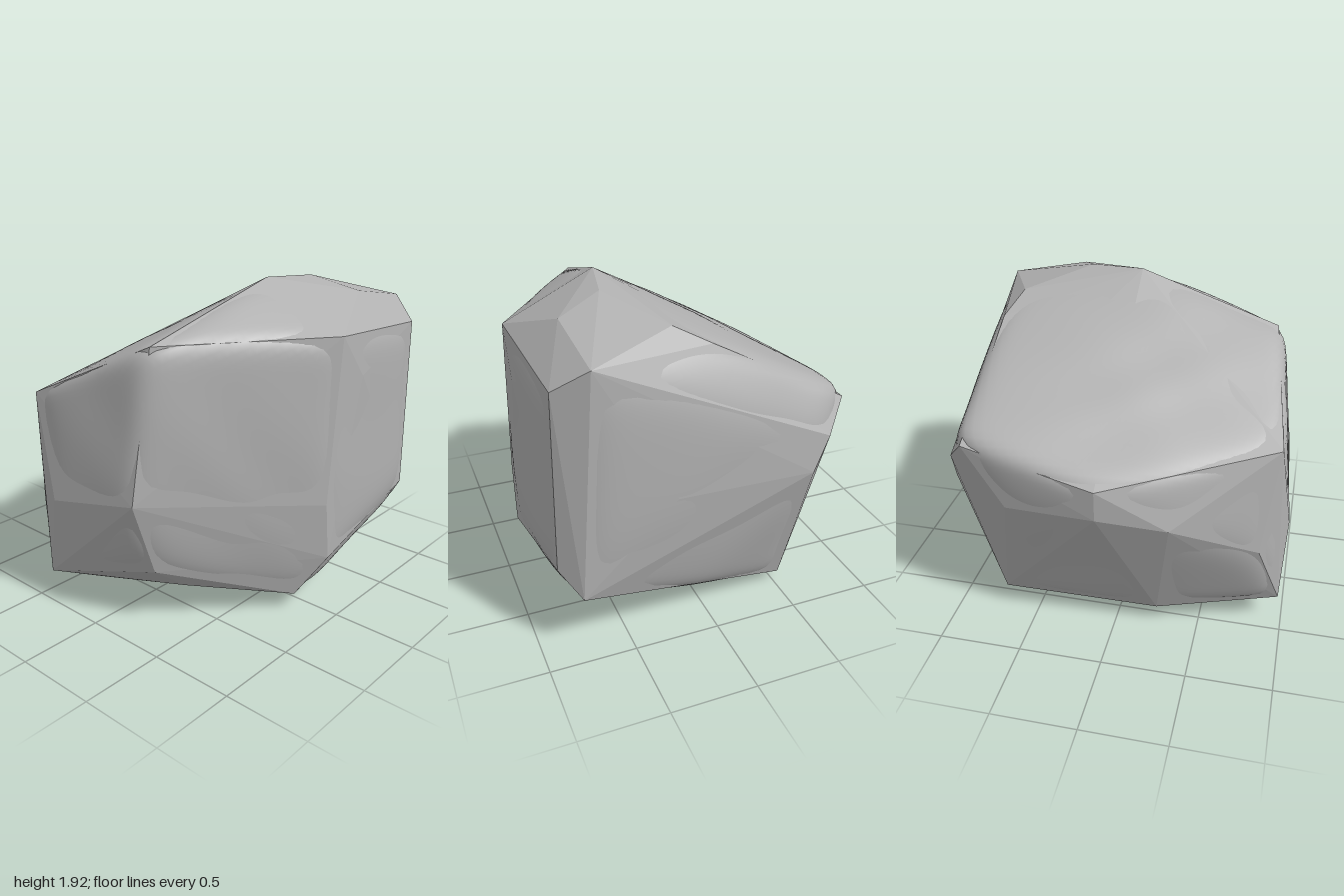
import * as THREE from 'three';
import { ConvexGeometry } from 'three/addons/geometries/ConvexGeometry.js';
import { mergeVertices } from 'three/addons/utils/BufferGeometryUtils.js';

const V = (x, y, z) => new THREE.Vector3(x, y, z);
const centre = V(0, 0.9, 0);

// Sharp corners around the top
const topCorners = [
  V(0.39, 1.92, -0.05), V(0.92, 1.66, -0.05), V(0.3, 1.66, 0.8), V(0.7, 1.73, -0.98),
  V(-0.81, 1.26, -0.82), V(-0.52, 1.28, 0.92),
  V(0.46, 1.9, -0.38), V(0.72, 1.82, -0.5), V(0.2, 1.8, -0.75), V(0, 1.7, -0.82),
];

// Worn corners around the sides
const sideCorners = [
  V(-0.94, 1.15, -0.03), V(-0.94, 0.97, -0.03), V(-0.86, 0.9, 0.36), V(-0.72, 0.75, 0.6),
  V(-0.61, 0.65, 0.84), V(-0.32, 0.68, 0.99), V(0.28, 0.8, 0.94), V(0.92, 0.7, 0.04),
  V(0.93, 1.4, -0.25), V(0.88, 1.6, -0.87), V(0.89, 0.55, -0.86), V(0.25, 0.93, -0.995),
  V(-0.57, 0.9, -0.975), V(-0.67, 1.1, -0.95), V(-0.83, 0.9, -0.58),
];

// Corners around the undercut foot
const footCorners = [
  V(0.77, 0.1, 0.11), V(-0.41, 0.18, 0.97), V(0.35, 0.21, 0.6), V(0.3, 0.36, 0.8), V(0.92, 0.35, 0),
  V(0.78, 0.4, -0.97), V(-0.53, 0.06, -0.74), V(-0.59, 0.12, 0.25), V(-0.5, 0.12, 0.45),
  V(-0.2, 0.14, 0.78), V(-0.3, 0.06, 0.45), V(0.05, 0, -0.45), V(0.25, 0.01, -0.4), V(0.1, 0.07, 0.4),
];

// Outward planes of the shell, near-parallel neighbours merged
function shellPlanes(geometry) {
  const p = geometry.attributes.position, planes = [], tri = new THREE.Triangle();
  for (let i = 0; i < p.count; i += 3) {
    tri.setFromAttributeAndIndices(p, i, i + 1, i + 2);
    const n = tri.getNormal(V(0, 0, 0));
    const d = n.dot(tri.a.clone().sub(centre));
    if (!planes.some((q) => q.n.dot(n) > 0.995)) planes.push({ n, d });
  }
  return planes;
}

// Smooth stone: a ball pressed softly against the shell planes, with gentle dents
function stoneGeometry(planes) {
  let g = new THREE.IcosahedronGeometry(1, 28);
  g.deleteAttribute('uv');
  g.deleteAttribute('normal');
  g = mergeVertices(g, 1e-4);
  const p = g.attributes.position, dir = V(0, 0, 0);
  for (let i = 0; i < p.count; i++) {
    dir.fromBufferAttribute(p, i).normalize();
    let sum = 0;
    for (const { n, d } of planes) sum += Math.max(0, n.dot(dir) / d) ** 30;
    const { x, y, z } = dir;
    const dents = 0.005 * Math.sin(7 * x + 3 * y) * Math.sin(6 * z - 4 * y + 1);
    dir.multiplyScalar(sum ** (-1 / 30) * 1.02 + dents).add(centre);
    p.setXYZ(i, dir.x, Math.max(0.005, dir.y), dir.z);
  }
  g.computeVertexNormals();
  return g;
}

export function createModel() {
  const grey = new THREE.MeshStandardMaterial({ color: 0xb0b0b0 });
  grey.name = 'stoneGrey';
  const rock = new THREE.Group();
  rock.name = 'rock';

  // Angular shell that shows at the corners and edges
  const shellGeometry = new ConvexGeometry([...topCorners, ...sideCorners, ...footCorners]);
  const shell = new THREE.Mesh(shellGeometry, grey);
  shell.name = 'angularEdges';

  // Smooth worn faces bulging slightly through the shell
  const stone = new THREE.Mesh(stoneGeometry(shellPlanes(shellGeometry)), grey);
  stone.name = 'wornStone';

  rock.add(shell, stone);
  return rock;
}
